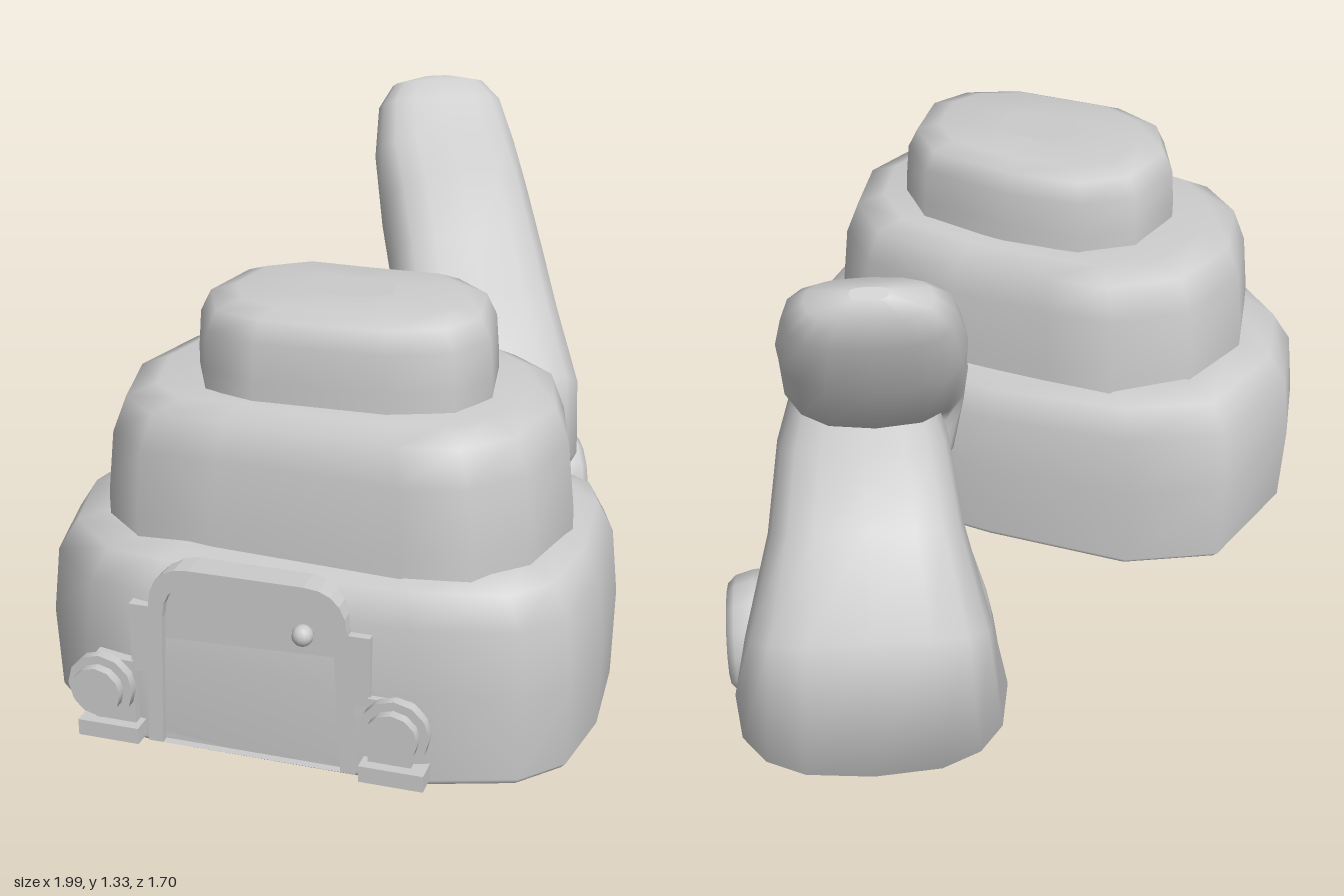
import * as THREE from 'three';
import { mergeGeometries } from 'three/addons/utils/BufferGeometryUtils.js';

const grey = new THREE.MeshStandardMaterial({ color: 0xcccccc });
const V = (x, y, z) => new THREE.Vector3(x, y, z);

function add(parent, name, geometry, x = 0, y = 0, z = 0) {
  const mesh = new THREE.Mesh(geometry, grey);
  mesh.name = name;
  mesh.position.set(x, y, z);
  parent.add(mesh);
  return mesh;
}

// Skin closed rings of points; smooth sides, separate flat end caps
function loft(rings) {
  const n = rings[0].length;
  const skin = (pts, index) => {
    const g = new THREE.BufferGeometry().setFromPoints(pts);
    g.setIndex(index);
    g.computeVertexNormals();
    return g;
  };
  const side = [];
  for (let i = 0; i < rings.length - 1; i++) {
    for (let j = 0; j < n; j++) {
      const k = (j + 1) % n;
      const a = i * n + j, b = i * n + k;
      side.push(a, b, b + n, a, b + n, a + n);
    }
  }
  const cap = (ring, up) => {
    const mid = ring.reduce((s, p) => s.add(p), V(0, 0, 0)).divideScalar(n);
    const index = [];
    for (let j = 0; j < n; j++) {
      const k = (j + 1) % n;
      index.push(n, up ? j : k, up ? k : j);
    }
    return skin([...ring, mid], index);
  };
  return mergeGeometries([skin(rings.flat(), side), cap(rings[0], false), cap(rings[rings.length - 1], true)]);
}

// A tier: outline in x,z, raised through [y, scale] levels, with an uneven rim
function tier(outline, levels, unevenness) {
  const cx = outline.reduce((s, p) => s + p[0], 0) / outline.length;
  const cz = outline.reduce((s, p) => s + p[1], 0) / outline.length;
  return loft(levels.map(([y, k], i) => outline.map(([x, z]) => {
    const wave = i > 1 && i < levels.length - 1 ? unevenness * Math.sin(3 * Math.atan2(z - cz, x - cx)) : 0;
    return V(cx + (x - cx) * k, y + wave, cz + (z - cz) * k);
  })));
}

// A limb in the local xy plane: stations of [x, y, half thickness, half width]
function limb(stations, sides = 16) {
  const round = (v) => Math.sign(v) * Math.abs(v) ** 0.74;
  return loft(stations.map(([x, y, r, w], i) => {
    const a = stations[Math.max(i - 1, 0)], b = stations[Math.min(i + 1, stations.length - 1)];
    const t = new THREE.Vector2(b[0] - a[0], b[1] - a[1]).normalize();
    return Array.from({ length: sides }, (_, j) => {
      const q = (j / sides) * Math.PI * 2;
      const c = round(Math.cos(q)) * r;
      return V(x - t.y * c, y + t.x * c, round(Math.sin(q)) * w);
    });
  }));
}

function house() {
  const g = new THREE.Group();
  g.name = 'house';
  add(g, 'lowerTier', tier([
    [-0.42, -0.48], [-0.72, -0.37], [-0.88, -0.2], [-0.91, 0], [-0.85, 0.15], [-0.5, 0.68], [-0.31, 0.83], [-0.18, 0.85],
    [0, 0.77], [0.2, 0.62], [0.27, 0.52], [0.28, 0.35], [0.17, 0.13], [0.04, -0.07], [-0.2, -0.37],
  ], [[0.07, 0.97], [0.085, 0.99], [0.3, 1], [0.46, 0.975], [0.535, 0.91], [0.565, 0.78], [0.57, 0.4]], 0.012));
  add(g, 'middleTier', tier([
    [-0.4, -0.33], [-0.62, -0.26], [-0.77, -0.1], [-0.79, 0.05], [-0.7, 0.22], [-0.47, 0.6], [-0.35, 0.7], [-0.2, 0.73],
    [0, 0.66], [0.14, 0.5], [0.17, 0.33], [0.05, 0.1], [-0.1, -0.12], [-0.2, -0.26],
  ], [[0.48, 1], [0.6, 1], [0.76, 0.97], [0.845, 0.91], [0.875, 0.78], [0.88, 0.4]], 0.008));
  add(g, 'topTier', tier([
    [-0.36, -0.13], [-0.53, -0.06], [-0.61, 0.08], [-0.58, 0.22], [-0.4, 0.47], [-0.27, 0.55],
    [-0.15, 0.54], [-0.02, 0.42], [0.01, 0.28], [-0.1, 0.08], [-0.22, -0.08],
  ], [[0.83, 1], [0.92, 1], [1.01, 0.98], [1.06, 0.91], [1.08, 0.74], [1.085, 0.3]], 0.003));
  return g;
}

// Arched outline standing on y = 0
function arch(Shape, w, h, c) {
  const s = new Shape();
  s.moveTo(-w, 0);
  s.lineTo(w, 0);
  s.lineTo(w * 0.94, h - c);
  s.quadraticCurveTo(w * 0.92, h, w * 0.94 - c, h);
  s.lineTo(-w * 0.94 + c, h);
  s.quadraticCurveTo(-w * 0.92, h, -w * 0.94, h - c);
  s.closePath();
  return s;
}

function doorway() {
  const g = new THREE.Group();
  g.name = 'doorway';
  g.position.set(-0.7, 0.09, 0.36);
  g.rotation.y = -0.985;
  const flat = { bevelEnabled: false, curveSegments: 5 };
  const frame = arch(THREE.Shape, 0.25, 0.45, 0.1);
  frame.holes.push(arch(THREE.Path, 0.215, 0.415, 0.09));
  add(g, 'doorFrame', new THREE.ExtrudeGeometry(frame, { depth: 0.14, ...flat }), 0, 0, -0.115);
  add(g, 'doorPanel', new THREE.ExtrudeGeometry(arch(THREE.Shape, 0.22, 0.42, 0.09), { depth: 0.03, ...flat }), 0, 0, -0.025);
  add(g, 'doorKnob', new THREE.SphereGeometry(0.025, 12, 8), 0.13, 0.33, 0.02);

  // Pillars with ribbed lamps on both sides
  for (const side of [-1, 1]) {
    const lamp = new THREE.Group();
    lamp.name = side < 0 ? 'rightPillar' : 'leftPillar';
    lamp.position.x = side * 0.3;
    g.add(lamp);
    add(lamp, 'pillarFoot', new THREE.BoxGeometry(0.15, 0.04, 0.12), side * 0.04, 0.02, -0.01);
    add(lamp, 'lowerPost', new THREE.BoxGeometry(0.1, 0.18, 0.07), side * 0.03, 0.11, -0.01);
    add(lamp, 'upperPost', new THREE.BoxGeometry(0.05, 0.17, 0.06), -side * 0.04, 0.26, -0.01);
    [0.065, 0.08, 0.06].forEach((r, i) => {
      const disc = add(lamp, 'lampRib', new THREE.CylinderGeometry(r, r, 0.023, 12), side * 0.05, 0.14, 0.02 + i * 0.025);
      disc.rotation.x = Math.PI / 2;
    });
  }
  return g;
}

function tree() {
  const g = new THREE.Group();
  g.name = 'bentTree';
  g.position.set(0.24, 0, 0.13);
  g.rotation.y = 1.062;
  add(g, 'upperArm', limb([
    [0.18, 0.325, 0.02, 0.05], [0.16, 0.34, 0.055, 0.13], [0.1, 0.39, 0.09, 0.19], [0.04, 0.5, 0.125, 0.22], [0.085, 0.63, 0.145, 0.23],
    [0.25, 0.76, 0.135, 0.22], [0.405, 0.895, 0.145, 0.21], [0.565, 1.01, 0.16, 0.205], [0.69, 1.13, 0.11, 0.2],
    [0.77, 1.25, 0.08, 0.175], [0.8, 1.305, 0.05, 0.13], [0.81, 1.325, 0.015, 0.04],
  ]), 0, 0, 0.01);
  add(g, 'trunkAndFoot', limb([
    [0.54, 0.96, 0.08, 0.14], [0.58, 0.8, 0.115, 0.19], [0.67, 0.61, 0.145, 0.22], [0.83, 0.45, 0.185, 0.275], [0.87, 0.31, 0.2, 0.305],
    [0.71, 0.195, 0.185, 0.305], [0.52, 0.19, 0.18, 0.295], [0.36, 0.195, 0.165, 0.265], [0.265, 0.2, 0.11, 0.19], [0.245, 0.2, 0.03, 0.06],
  ]), 0, 0, 0.04);

  // Low hollow stump on the outer side of the foot
  const profile = [[0.16, 0.2], [0.158, 0.32], [0.145, 0.365], [0.125, 0.385], [0.11, 0.38], [0.1, 0.348], [0, 0.342]];
  const stump = new THREE.LatheGeometry(profile.map(([r, y]) => new THREE.Vector2(r, y)), 14);
  stump.rotateX(Math.PI / 2);
  add(g, 'hollowStump', stump, 0.52, 0.17, 0).scale.set(0.9, 1.05, 1);

  // Ball lantern on a bent rod
  const rod = new THREE.CatmullRomCurve3([
    V(0.15, 0.64, 0), V(0.19, 0.54, 0), V(0.25, 0.5, 0), V(0.38, 0.5, 0), V(0.53, 0.515, 0), V(0.58, 0.48, 0), V(0.59, 0.37, 0),
  ]);
  add(g, 'lanternRod', new THREE.TubeGeometry(rod, 24, 0.015, 8), 0, 0, 0.02);
  add(g, 'lanternBall', new THREE.SphereGeometry(0.075, 20, 14), 0.38, 0.5, 0.02);
  return g;
}

export function createModel() {
  const model = new THREE.Group();
  model.name = 'stumpHouseAndTree';
  model.add(house(), doorway(), tree());
  return model;
}
